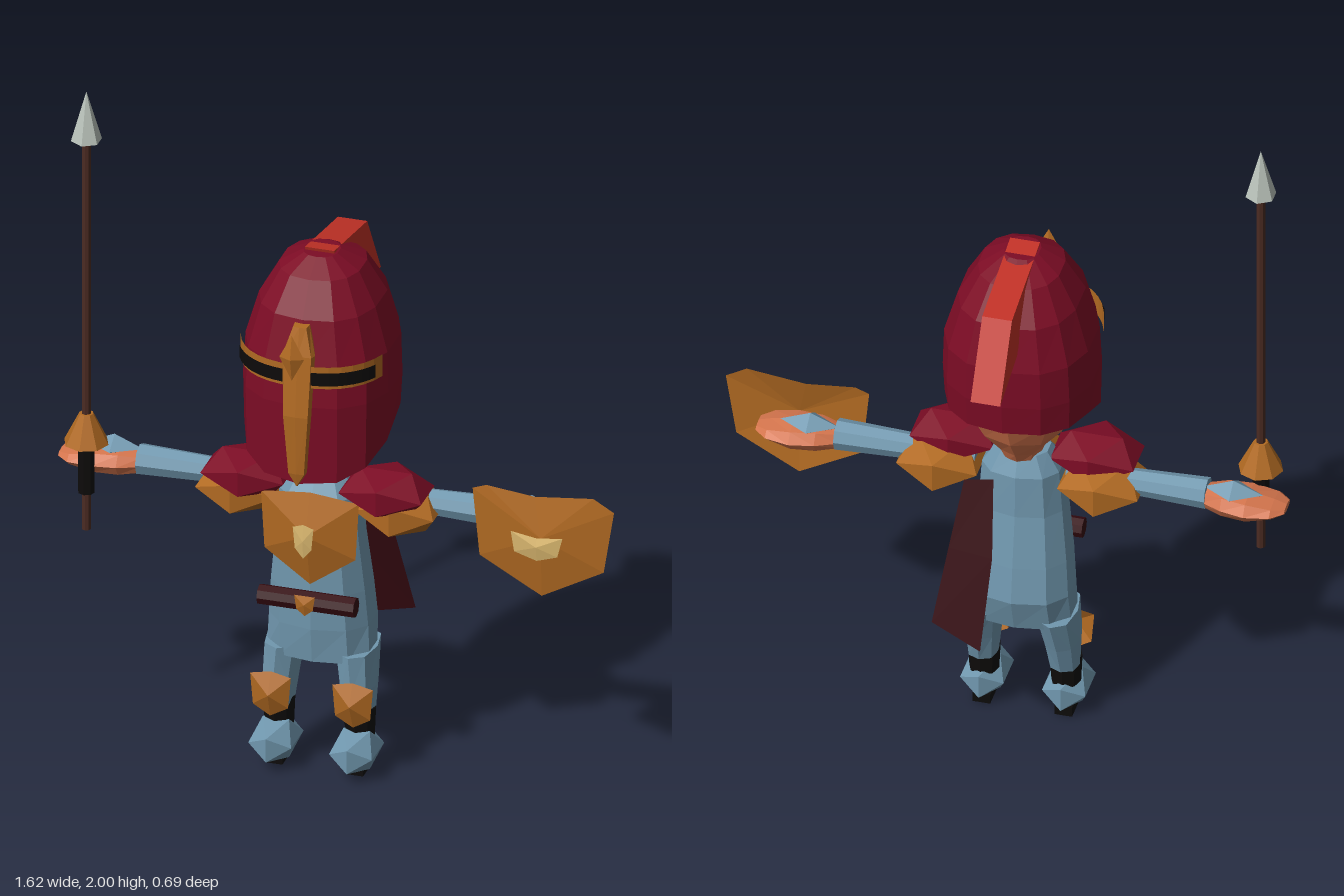
import * as THREE from 'three';

const mat = (name, color, side = THREE.DoubleSide) =>
  Object.assign(new THREE.MeshStandardMaterial({ color, flatShading: true, side }), { name });

const M = {
  maroon: mat('maroon', 0x7d0c25),
  red: mat('plumeRed', 0xc23126),
  gold: mat('bronze', 0xb16a22),
  blue: mat('steelBlue', 0x7198af),
  skin: mat('skin', 0xd3744c),
  black: mat('black', 0x0d0b0a),
  leather: mat('darkLeather', 0x360a10),
  wood: mat('wood', 0x4b2b22),
  steel: mat('spearSteel', 0xb9c2ba),
  cream: mat('cream', 0xdcb970),
};

function add(parent, name, geometry, material, x = 0, y = 0, z = 0) {
  const mesh = new THREE.Mesh(geometry, material);
  mesh.name = name;
  mesh.position.set(x, y, z);
  parent.add(mesh);
  return mesh;
}

function fromTriangles(list) {
  const g = new THREE.BufferGeometry().setFromPoints(list);
  g.computeVertexNormals();
  return g;
}

// Point of a rounded-square section; t = 0 is the front, t grows towards +x
function sectionPoint(t, [y, half, back, front, cx = 0], n = 2.4) {
  const pow = v => Math.sign(v) * Math.abs(v) ** (2 / n);
  return new THREE.Vector3(cx + half * pow(Math.sin(t)), y,
    (front + back) / 2 + (front - back) / 2 * pow(Math.cos(t)));
}

// Skin through sections [y, halfWidth, zBack, zFront, xCentre], listed bottom to top
function loft(sections, sides = 8, { n = 2.4, bottom = true, top = true, edit = null } = {}) {
  const rings = sections.map((s, r) => Array.from({ length: sides }, (_, i) => {
    const p = sectionPoint(i / sides * Math.PI * 2, s, n);
    if (edit) edit(p, r);
    return p;
  }));
  const tris = [];
  for (let r = 0; r + 1 < rings.length; r++)
    for (let i = 0; i < sides; i++) {
      const j = (i + 1) % sides, a = rings[r], b = rings[r + 1];
      tris.push(a[i], a[j], b[j], a[i], b[j], b[i]);
    }
  const lo = rings[0], hi = rings[rings.length - 1];
  for (let i = 1; i + 1 < sides; i++) {
    if (bottom) tris.push(lo[0], lo[i + 1], lo[i]);
    if (top) tris.push(hi[0], hi[i], hi[i + 1]);
  }
  return fromTriangles(tris);
}

// Curved strip that follows the front of a section
function strip(y0, y1, half, back, front, t0, t1, steps) {
  const tris = [];
  for (let i = 0; i < steps; i++) {
    const [ta, tb] = [i, i + 1].map(k => t0 + (t1 - t0) * k / steps);
    const q = (t, y) => sectionPoint(t, [y, half, back, front]);
    tris.push(q(ta, y0), q(tb, y0), q(tb, y1), q(ta, y0), q(tb, y1), q(ta, y1));
  }
  return fromTriangles(tris);
}

// Faceted thin plate: outline counterclockwise, raised to an apex
function plate(outline, edgeZ, apex) {
  const c = new THREE.Vector3(...apex);
  const pts = outline.map(([x, y]) => new THREE.Vector3(x, y, edgeZ));
  return fromTriangles(pts.flatMap((p, i) => [c, p, pts[(i + 1) % pts.length]]));
}

// Low-poly lump with the given half extents
const lump = (x, y, z) => new THREE.IcosahedronGeometry(1, 0).scale(x / 0.851, y / 0.851, z / 0.851);

function buildHead() {
  const g = new THREE.Group();
  g.name = 'headAndHelmet';
  add(g, 'head', loft([
    [0.88, 0.05, 0, 0.11], [0.93, 0.07, -0.03, 0.2], [1.0, 0.125, -0.08, 0.24],
    [1.1, 0.175, -0.125, 0.24], [1.25, 0.18, -0.13, 0.23]], 10), M.skin);

  // Open helmet with a rim that drops towards the chin
  add(g, 'helmet', loft([
    [1.1, 0.211, -0.165, 0.272], [1.2, 0.215, -0.175, 0.276], [1.32, 0.21, -0.175, 0.265],
    [1.45, 0.172, -0.145, 0.235], [1.545, 0.118, -0.085, 0.175], [1.585, 0.05, 0, 0.11]], 14, {
    bottom: false,
    edit: (p, r) => { if (r === 0) p.y = 1.105 - Math.max(0, p.z - 0.02) * 0.58; },
  }), M.maroon);

  // Visor band, eye slots, nose guard and crest
  add(g, 'visorBand', strip(1.268, 1.335, 0.218, -0.185, 0.286, -1.2, 1.2, 14), M.gold);
  for (const s of [-1, 1])
    add(g, 'eyeSlot', strip(1.28, 1.32, 0.223, -0.187, 0.292, s * 0.13, s * 1.04, 8), M.black);
  add(g, 'noseGuard', loft([
    [0.96, 0.003, 0.26, 0.288], [1.0, 0.026, 0.26, 0.296], [1.18, 0.041, 0.265, 0.303],
    [1.36, 0.046, 0.245, 0.284], [1.44, 0.022, 0.215, 0.264]], 8, { n: 5 }), M.gold);
  add(g, 'browOrnament', new THREE.OctahedronGeometry(1).scale(0.036, 0.07, 0.016), M.gold, 0, 1.38, 0.333);

  // Plume drawn from the side, then turned so its width runs along x
  const side = new THREE.Shape([[0.08, 1.595], [-0.22, 1.54], [-0.345, 1.335], [-0.165, 1.38],
    [-0.08, 1.5], [0.06, 1.54]].map(([z, y]) => new THREE.Vector2(-z, y)));
  const plume = new THREE.ExtrudeGeometry(side, { depth: 0.085, bevelEnabled: false });
  add(g, 'plume', plume.translate(0, 0, -0.0425).rotateY(Math.PI / 2), M.red);
  return g;
}

function buildTorso() {
  const g = new THREE.Group();
  g.name = 'torso';
  add(g, 'tunic', loft([
    [0.345, 0.155, -0.04, 0.15], [0.45, 0.15, -0.073, 0.162], [0.56, 0.142, -0.058, 0.165],
    [0.72, 0.125, -0.032, 0.163], [0.85, 0.115, -0.028, 0.16], [0.91, 0.078, 0, 0.12]], 10), M.blue);
  add(g, 'breastplate', plate([[0, 0.595], [0.132, 0.69], [0.142, 0.865], [0, 0.88],
    [-0.142, 0.865], [-0.132, 0.69]], 0.167, [0, 0.76, 0.205]), M.gold);
  add(g, 'breastEmblem', plate([[0, 0.705], [0.024, 0.735], [0.03, 0.8], [0, 0.81],
    [-0.03, 0.8], [-0.024, 0.735]], 0.23, [0, 0.76, 0.236]), M.cream);
  add(g, 'belt', new THREE.CylinderGeometry(0.029, 0.029, 0.28, 8).rotateZ(Math.PI / 2), M.leather, 0, 0.553, 0.187);
  add(g, 'buckle', plate([[0, 0.52], [0.024, 0.54], [0.03, 0.582], [-0.03, 0.582],
    [-0.024, 0.54]], 0.217, [0, 0.557, 0.226]), M.gold);

  // Cape hanging from one shoulder
  const rows = [[[0.06, 0.84, -0.035], [0.145, 0.82, -0.03]],
    [[0.045, 0.62, -0.105], [0.175, 0.62, -0.085]], [[0.06, 0.35, -0.178], [0.207, 0.4, -0.145]]]
    .map(r => r.map(p => new THREE.Vector3(...p)));
  add(g, 'cape', fromTriangles([0, 1].flatMap(i => {
    const [[a, b], [c, d]] = [rows[i], rows[i + 1]];
    return [a, b, d, a, d, c];
  })), M.leather);
  return g;
}

// Arm, shoulder armour and leg of the +x side
function buildSide() {
  const g = new THREE.Group();
  add(g, 'shoulderGuard', lump(0.115, 0.07, 0.115), M.gold, 0.23, 0.825, 0.06);
  add(g, 'shoulderPad', lump(0.12, 0.06, 0.1), M.maroon, 0.2, 0.888, 0.1);
  const sideways = geo => geo.rotateZ(-Math.PI / 2);
  add(g, 'arm', sideways(new THREE.CylinderGeometry(0.045, 0.031, 0.4, 8)), M.blue, 0.33, 0.845, 0.052);
  add(g, 'hand', sideways(loft([
    [0.52, 0.032, 0.015, 0.09], [0.58, 0.042, -0.012, 0.115], [0.65, 0.04, -0.026, 0.125],
    [0.72, 0.022, -0.012, 0.12], [0.755, 0.01, 0.02, 0.09]], 8, { n: 2 })), M.skin, 0, 0.838, 0);
  add(g, 'handGuard', new THREE.OctahedronGeometry(1).scale(0.085, 0.035, 0.05), M.blue, 0.605, 0.872, 0.045);

  add(g, 'leg', loft([
    [0.17, 0.043, 0.02, 0.13, 0.117], [0.26, 0.049, -0.01, 0.15, 0.113],
    [0.37, 0.055, -0.05, 0.15, 0.104]], 8), M.blue);
  add(g, 'ankleWrap', new THREE.CylinderGeometry(0.047, 0.043, 0.09, 8), M.black, 0.117, 0.15, 0.08);
  add(g, 'shoe', lump(0.062, 0.058, 0.092), M.blue, 0.117, 0.074, 0.11);
  add(g, 'sole', new THREE.BoxGeometry(0.05, 0.03, 0.08), M.black, 0.117, 0.015, 0.09);
  add(g, 'kneeGuard', plate([[0.12, 0.16], [0.17, 0.19], [0.178, 0.285], [0.118, 0.298],
    [0.06, 0.285], [0.068, 0.19]], 0.153, [0.118, 0.235, 0.182]), M.gold);
  return g;
}

function buildSpear() {
  const g = new THREE.Group();
  g.name = 'spear';
  const rod = (name, rTop, rBottom, y0, y1, sides, m) =>
    add(g, name, new THREE.CylinderGeometry(rTop, rBottom, y1 - y0, sides), m, 0, (y0 + y1) / 2, 0);
  rod('shaft', 0.013, 0.013, 0.64, 1.86, 8, M.wood);
  rod('grip', 0.024, 0.024, 0.755, 0.915, 8, M.black);
  rod('handCone', 0.02, 0.064, 0.91, 1.0, 8, M.gold);
  rod('spearhead', 0, 0.044, 1.85, 2.0, 6, M.steel);
  g.position.set(-0.72, 0, 0.12);
  return g;
}

function buildShield() {
  const g = new THREE.Group();
  g.name = 'shield';
  add(g, 'shieldPlate', plate([[0.6, 0.64], [0.78, 0.74], [0.81, 0.93], [0.75, 0.965],
    [0.58, 0.945], [0.44, 0.96], [0.4, 0.945], [0.42, 0.74]], 0.122, [0.605, 0.83, 0.146]), M.gold);
  add(g, 'shieldEmblem', plate([[0.605, 0.78], [0.665, 0.8], [0.68, 0.86], [0.605, 0.85],
    [0.53, 0.862], [0.54, 0.8]], 0.184, [0.605, 0.825, 0.192]), M.cream);
  return g;
}

export function createModel() {
  const model = new THREE.Group();
  model.name = 'knight';
  const body = new THREE.Group();
  body.name = 'body';
  body.position.x = -0.057;
  const left = buildSide(), right = buildSide();
  left.name = 'leftLimbs';
  right.name = 'rightLimbs';
  right.scale.x = -1;
  body.add(buildHead(), buildTorso(), left, right);
  model.add(body, buildSpear(), buildShield());
  return model;
}
